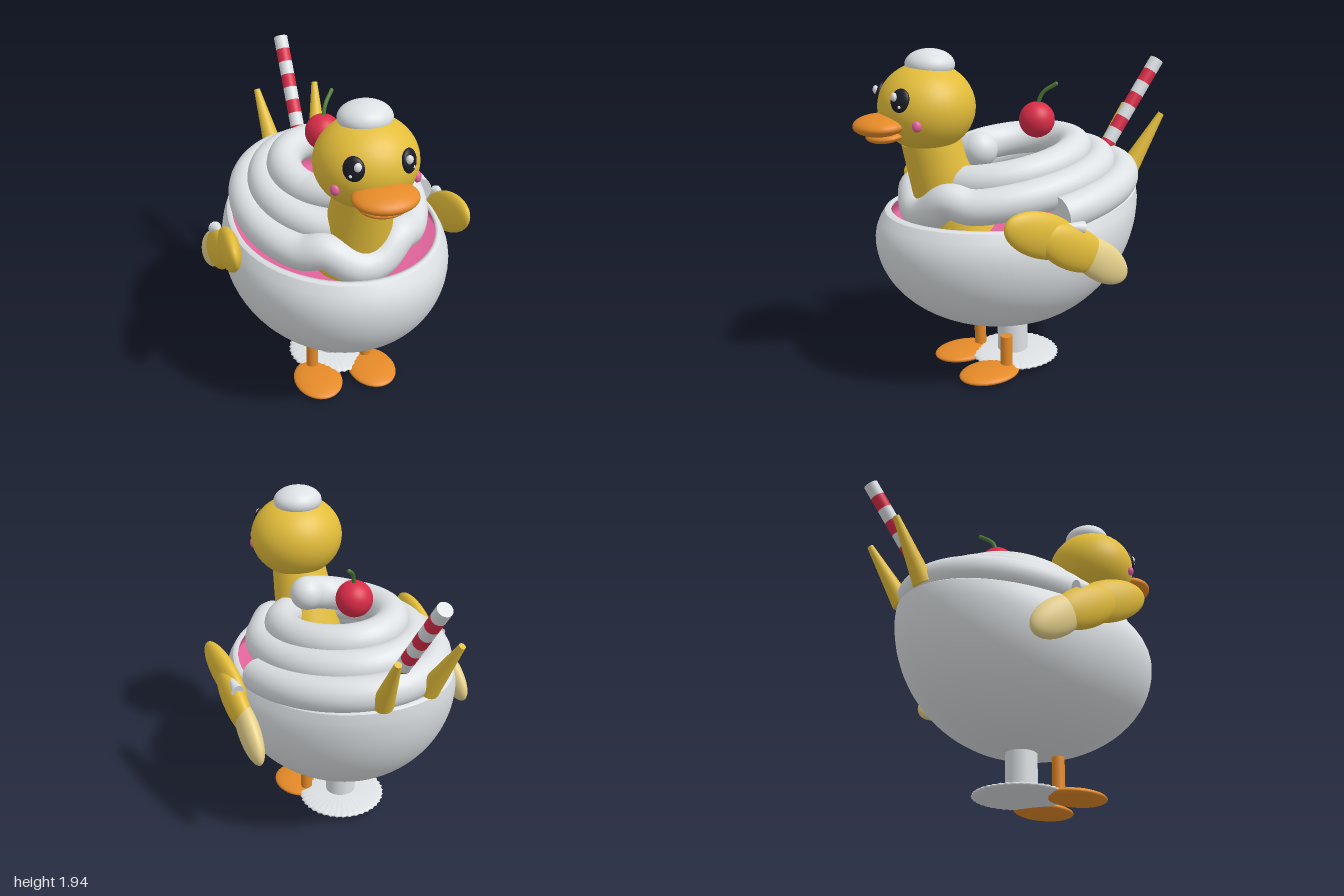
import * as THREE from 'three';
import { mergeVertices } from 'three/addons/utils/BufferGeometryUtils.js';

const material = (name, color) => Object.assign(new THREE.MeshStandardMaterial({ color }), { name });
const V = (x, y, z) => new THREE.Vector3(x, y, z);

export function createModel() {
  const group = new THREE.Group();
  const white = material('white', 0xdde1e4);
  const yellow = material('yellow', 0xe3bd3a);
  const cream = material('cream', 0xe6d18c);
  const orange = material('orange', 0xe58a28);
  const pink = material('pink', 0xe2659c);
  const red = material('red', 0xd92c48);
  const black = material('black', 0x1b1b25);
  const green = material('green', 0x4d7a35);

  const add = (name, geometry, mat, x = 0, y = 0, z = 0) => {
    const mesh = new THREE.Mesh(geometry, mat);
    mesh.name = name;
    mesh.position.set(x, y, z);
    group.add(mesh);
    return mesh;
  };
  const ball = new THREE.SphereGeometry(1, 40, 28);
  const ellipsoid = (name, mat, p, s, rx = 0, ry = 0) => {
    const mesh = add(name, ball, mat, ...p);
    mesh.scale.set(...s);
    mesh.rotation.set(rx, ry, 0);
    return mesh;
  };
  // cylinder or cone between two points
  const rod = (name, mat, a, b, r0, r1 = r0) => {
    const mesh = add(name, new THREE.CylinderGeometry(r1, r0, a.distanceTo(b), 32), mat);
    mesh.position.copy(a).lerp(b, 0.5);
    mesh.quaternion.setFromUnitVectors(V(0, 1, 0), b.clone().sub(a).normalize());
    return mesh;
  };

  // Egg-shaped bowl: profile points are (scale, height 0..1), fuller and higher at the back
  const bowlGeometry = (points) => {
    const geo = new THREE.LatheGeometry(points.map(([s, h]) => new THREE.Vector2(s, h)), 72);
    const pos = geo.attributes.position;
    for (let i = 0; i < pos.count; i++) {
      const s = Math.hypot(pos.getX(i), pos.getZ(i)) || 1e-6;
      const dx = pos.getX(i) / s, dz = pos.getZ(i) / s;
      const back = Math.max(0, -dz) ** 1.5;
      const yc = 0.87 + 0.21 * back;
      const y = 0.3 + pos.getY(i) * (0.73 + 0.09 * back);
      const d = y < yc ? (yc - y) / (yc - 0.3) : (y - yc) / 0.42;
      const f = s * Math.sqrt(Math.max(0, 1 - d * d));
      pos.setXYZ(i, dx * 0.65 * f, y, 0.08 + dz * 0.8 * f);
    }
    geo.deleteAttribute('uv');
    geo.deleteAttribute('normal');
    const merged = mergeVertices(geo, 1e-5);
    merged.computeVertexNormals();
    return merged;
  };
  const outer = [];
  for (let i = 0; i <= 24; i++) outer.push([1, 1 - Math.cos(i / 24 * Math.PI / 2)]);
  add('bowl', bowlGeometry(outer), white);
  add('bowlRim', bowlGeometry([[1, 1], [0.985, 1.012], [0.96, 1.012], [0.945, 0.99]]), white);
  add('bowlFilling', bowlGeometry([[0.945, 0.99], [0.945, 0.92], [0.945, 0.85], [0.6, 0.85], [0.3, 0.85], [0, 0.85]]), pink);

  // Swirled topping: one tube spiralling inward and upward
  class Swirl extends THREE.Curve {
    getPoint(u, target = V(0, 0, 0)) {
      const t = u * 2.81, a = t * Math.PI * 2;
      const x = (0.54 - 0.112 * t) * Math.cos(a);
      const z = 0.045 - (0.7 - 0.15 * t) * Math.sin(a);
      const sag = 0.05 * Math.exp(-(((t - 0.75) / 0.05) ** 2));
      const lump = 0.05 * Math.exp(-(((Math.abs(t - 0.75) - 0.075) / 0.03) ** 2));
      const lift = 0.05 * Math.max(0, (t - 2.6) / 0.2);
      return target.set(x, 1.09 + 0.1 * t - 0.13 * z - sag + lump + lift, z);
    }
  }
  const swirl = new Swirl();
  add('toppingSwirl', new THREE.TubeGeometry(swirl, 300, 0.1, 24), white);
  const start = swirl.getPoint(0), end = swirl.getPoint(1);
  const cap = add('swirlStart', new THREE.CircleGeometry(0.1, 24), white, ...start.toArray());
  cap.lookAt(start.clone().sub(swirl.getTangent(0)));
  ellipsoid('swirlTip', white, end.toArray(), [0.1, 0.1, 0.1]);

  // Sprinkles lying in the filling
  [[-0.06, 0.04, 0.1, white], [0.14, 0.03, 0, yellow], [-0.11, 0.11, 0.2, yellow], [-0.1, 0.14, -0.1, red]]
    .forEach(([x, z, turn, mat]) => {
      const s = add('sprinkle', new THREE.CapsuleGeometry(0.013, 0.06, 4, 10), mat, x, 0.935, z);
      s.rotation.set(0, turn, Math.PI / 2);
    });

  // Neck and head
  rod('neck', yellow, V(0, 0.9, 0.4), V(0, 1.48, 0.58), 0.215, 0.158);
  ellipsoid('head', yellow, [0, 1.64, 0.585], [0.278, 0.243, 0.267]);
  ellipsoid('headTuft', white, [0, 1.868, 0.56], [0.145, 0.085, 0.135]);
  ellipsoid('upperBill', orange, [0, 1.563, 0.86], [0.175, 0.056, 0.142], 0.08);
  ellipsoid('lowerBill', orange, [0, 1.505, 0.83], [0.132, 0.036, 0.105], 0.15);

  for (const side of [1, -1]) {
    // Face
    ellipsoid('eye', black, [side * 0.145, 1.71, 0.795], [0.056, 0.064, 0.024], -0.28, side * 0.58);
    ellipsoid('eyeHighlight', white, [side * 0.135, 1.73, 0.825], [0.02, 0.024, 0.016]);
    ellipsoid('eyeGlint', white, [side * 0.165, 1.68, 0.808], [0.01, 0.01, 0.01]);
    ellipsoid('cheek', pink, [side * 0.222, 1.58, 0.738], [0.026, 0.03, 0.02], 0, side * 0.9);

    // Wing feathers
    ellipsoid('upperWingFeather', yellow, [side * 0.665, 1.03, 0.23], [0.058, 0.125, 0.25], -0.38, side * 0.06);
    ellipsoid('middleWingFeather', yellow, [side * 0.685, 0.94, 0.06], [0.06, 0.12, 0.24], -0.5);
    ellipsoid('wingTip', cream, [side * 0.685, 0.84, -0.115], [0.058, 0.108, 0.21], -0.65, side * -0.05);
    rod('wingTuft', white, V(side * 0.69, 1.045, 0), V(side * 0.68, 1.08, 0.14), 0.038, 0.002);

    // Legs and feet
    rod('leg', orange, V(side * 0.175, 0.04, 0.19), V(side * 0.175, 0.258, 0.19), 0.036);
    ellipsoid('foot', orange, [side * 0.175, 0.045, 0.305], [0.145, 0.036, 0.185], 0.03);

    // Tail feathers
    rod('tailFeather', yellow, V(side * 0.145, 1.15, -0.66), V(side * 0.193, 1.5, -0.865), 0.062, 0.019);
  }

  // Stem and fluted base
  rod('stem', white, V(0, 0.05, 0.055), V(0, 0.4, 0.055), 0.092);
  const base = new THREE.SphereGeometry(1, 120, 16);
  const bp = base.attributes.position;
  for (let i = 0; i < bp.count; i++) {
    const x = bp.getX(i), z = bp.getZ(i), r = Math.hypot(x, z);
    const wave = Math.cos(Math.atan2(z, x) * 40) * 0.02 * r ** 4;
    bp.setXYZ(i, x * 0.265 * (1 + wave), bp.getY(i) * 0.03 * (1 + wave * 8), z * 0.265 * (1 + wave));
  }
  base.computeVertexNormals();
  add('base', base, white, 0, 0.057, 0.04);

  // Striped straw
  const low = V(0, 1.25, -0.575), high = V(0, 1.795, -0.96), bands = 8;
  for (let i = 0; i < bands; i++) {
    rod('strawBand', i % 2 ? white : red, low.clone().lerp(high, i / bands), low.clone().lerp(high, (i + 1) / bands), 0.043);
  }

  // Cherry and its stalk
  ellipsoid('cherry', red, [0, 1.5, -0.11], [0.105, 0.105, 0.105]);
  const stalk = new THREE.CatmullRomCurve3([V(0, 1.58, -0.11), V(0.025, 1.66, -0.135), V(0.08, 1.715, -0.19)]);
  add('cherryStalk', new THREE.TubeGeometry(stalk, 16, 0.012, 10), green);
  ellipsoid('stalkEnd', green, [0.08, 1.715, -0.19], [0.012, 0.012, 0.012]);

  return group;
}
